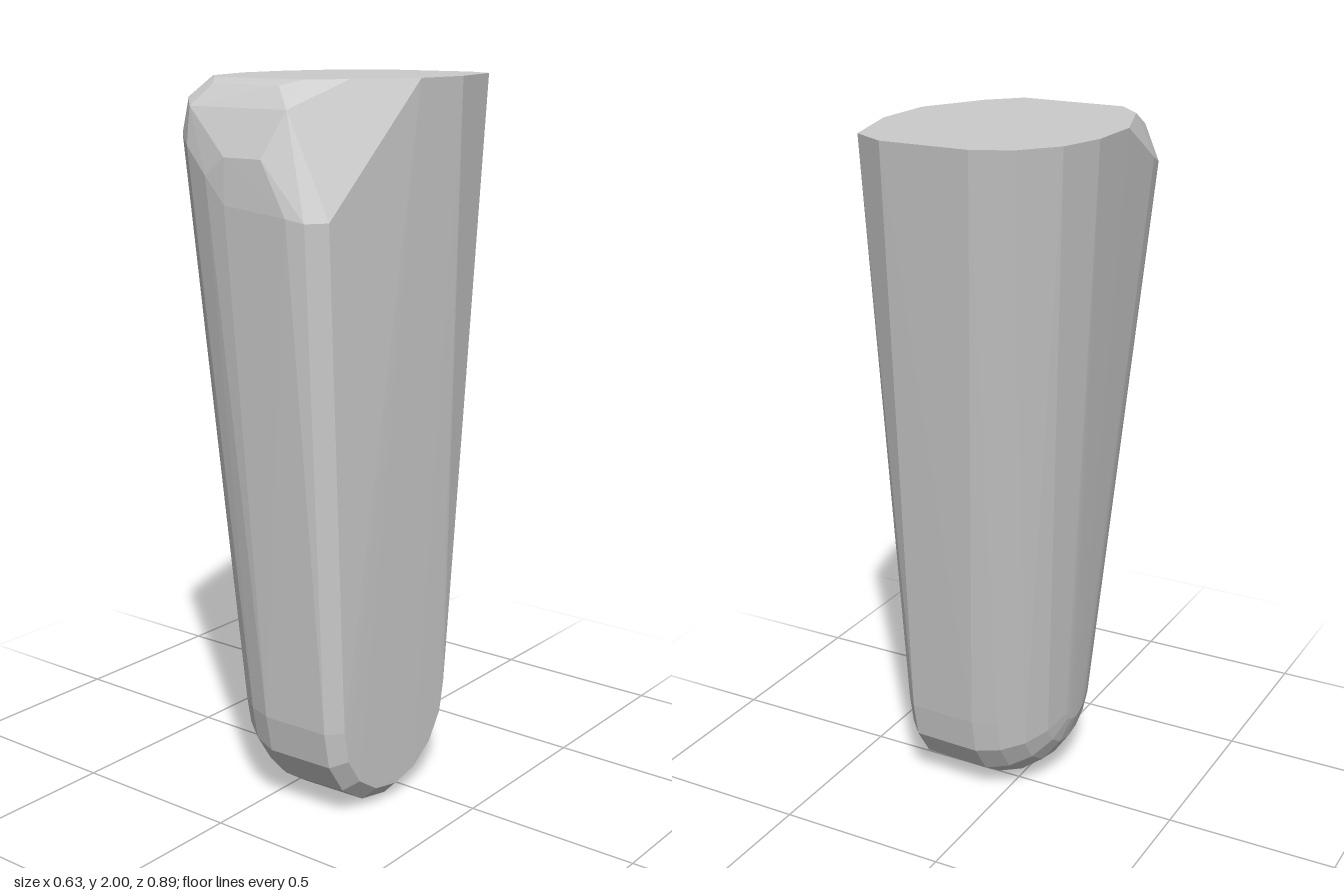
import * as THREE from 'three';
import { ConvexGeometry } from 'three/addons/geometries/ConvexGeometry.js';

export function createModel() {
  const points = [];
  const add = (x, y, z) => points.push(new THREE.Vector3(x, y, z));

  // Flat top outline (x, z)
  const top = [
    [-0.10, -0.445], [0.15, -0.444], [0.25, -0.385], [0.315, -0.16], [0.313, 0.03],
    [0.22, 0.21], [0.14, 0.295], [-0.165, 0.29], [-0.24, 0.21], [-0.315, 0],
    [-0.315, -0.17], [-0.28, -0.30], [-0.20, -0.40],
  ];
  for (const [x, z] of top) add(x, 2, z);

  // Rounded shoulder between the top and the front (x, y, z)
  const shoulder = [
    [-0.12, 1.985, 0.345], [0.10, 1.985, 0.345], [-0.21, 1.95, 0.34],
    [-0.16, 1.93, 0.392], [0.16, 1.93, 0.388],
    [0, 1.81, 0.443], [0.12, 1.81, 0.442], [-0.07, 1.76, 0.437], [-0.16, 1.83, 0.405],
    [-0.22, 1.85, 0.355], [-0.27, 1.86, 0.30], [-0.285, 1.87, 0.26], [-0.30, 1.89, 0.20],
    [0, 1.69, 0.445], [0.20, 1.67, 0.445], [0.25, 1.66, 0.432], [0.287, 1.66, 0.38],
  ];
  for (const [x, y, z] of shoulder) add(x, y, z);

  // Rounded foot: half circles stacked along x (x, radius)
  const foot = [
    [-0.15, 0.07], [-0.125, 0.145], [-0.08, 0.21], [-0.02, 0.255],
    [0.05, 0.28], [0.25, 0.275], [0.288, 0.235],
  ];
  const steps = 8;
  for (const [x, r] of foot) {
    for (let i = 0; i <= steps; i++) {
      const a = (i / steps - 0.5) * Math.PI;
      add(x, 0.28 - r * Math.cos(a), 0.08 + r * Math.sin(a));
    }
  }

  // One convex tapered body through all the sections
  const body = new THREE.Mesh(
    new ConvexGeometry(points),
    new THREE.MeshStandardMaterial({ color: 0xcccccc, flatShading: true }),
  );
  body.name = 'taperedBody';

  const group = new THREE.Group();
  group.name = 'taperedBlock';
  group.add(body);
  return group;
}
